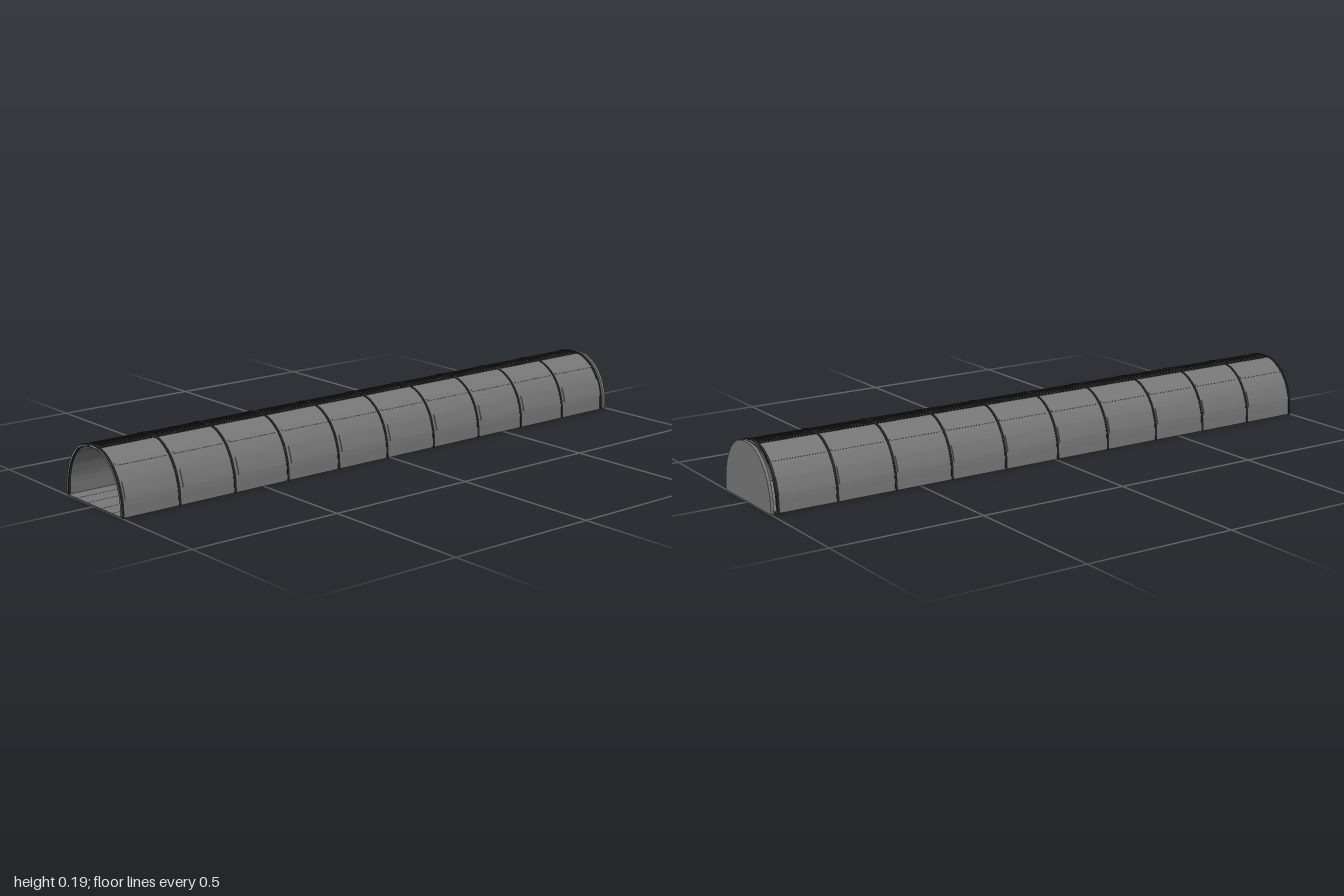
import * as THREE from 'three';

const shellMat = new THREE.MeshStandardMaterial({ color: 0x777777, side: THREE.DoubleSide });
const ribMat = new THREE.MeshStandardMaterial({ color: 0x222222, side: THREE.DoubleSide });

// Right half of the arch, from the foot to the crown
const HALF = [[0.15, 0], [0.146, 0.054], [0.137, 0.085], [0.128, 0.107], [0.102, 0.144],
  [0.06, 0.174], [0.03, 0.182], [0, 0.184]];
const mirrored = HALF.slice(0, -1).reverse().map(([x, y]) => [-x, y]);
const arch = new THREE.CatmullRomCurve3(
  [...HALF, ...mirrored].map(([x, y]) => new THREE.Vector3(x, y, 0)), false, 'centripetal');

// Points along part of the arch, moved outward by d
function archPoints(t0, t1, d, n) {
  const points = [];
  for (let i = 0; i <= n; i++) {
    const t = t0 + (t1 - t0) * i / n;
    const p = arch.getPoint(t), tan = arch.getTangent(t);
    points.push(new THREE.Vector2(p.x + tan.y * d, Math.max(0, p.y - tan.x * d)));
  }
  return points;
}

// Curved slab following the arch between two depths
function band(name, material, t0, t1, inner, outer, z0, z1, n) {
  const outline = [...archPoints(t0, t1, outer, n), ...archPoints(t0, t1, inner, n).reverse()];
  const geometry = new THREE.ExtrudeGeometry(new THREE.Shape(outline), { depth: z1 - z0, bevelEnabled: false });
  geometry.translate(0, 0, z0);
  const mesh = new THREE.Mesh(geometry, material);
  mesh.name = name;
  return mesh;
}

function box(name, w, h, d, x, y, z) {
  const mesh = new THREE.Mesh(new THREE.BoxGeometry(w, h, d), shellMat);
  mesh.position.set(x, y, z);
  mesh.name = name;
  return mesh;
}

export function createModel() {
  const model = new THREE.Group();
  model.name = 'tunnel';
  const back = -0.98, bays = 10, step = (1 - back) / bays;

  // Vaulted shell
  model.add(band('shell', shellMat, 0, 1, -0.005, 0, back, 1, 42));

  // Ribs between the bays
  for (let i = 0; i <= bays; i++) {
    const z = Math.min(1 - 0.008, Math.max(back, 1 - i * step - 0.004));
    model.add(band('rib', ribMat, 0, 1, -0.007, 0.0015, z, z + 0.008, 42));
  }

  // Raised side panels and slim rails in each bay
  for (let i = 0; i < bays; i++) {
    const z1 = 1 - i * step - 0.014, z0 = 1 - (i + 1) * step + 0.008;
    for (const [a, b] of [[0.07, 0.2], [0.8, 0.93]]) {
      model.add(band('sidePanel', shellMat, a, b, -0.001, 0.0025, z0, z1, 8));
    }
    for (const t of [0.29, 0.71]) {
      model.add(band('shoulderRail', shellMat, t - 0.006, t + 0.006, -0.006, 0.001, z0, z1, 1));
    }
  }

  // Narrow strips running along the crown
  for (let i = -3; i <= 3; i++) {
    const t = 0.5 + i * 0.024;
    model.add(band('roofStrip', ribMat, t - 0.007, t + 0.007, -0.006, 0.0012, back, 1, 2));
  }

  // Floor planks with fine seams
  const seams = [-0.15, -0.097, -0.037, 0.037, 0.097, 0.15];
  for (let i = 0; i < seams.length - 1; i++) {
    const w = seams[i + 1] - seams[i];
    model.add(box('floorPlank', w - 0.001, 0.003, 1 - back, seams[i] + w / 2, 0.0015, (1 + back) / 2));
  }

  // Back wall, set slightly away from the shell
  const wall = new THREE.Mesh(new THREE.ExtrudeGeometry(
    new THREE.Shape(archPoints(0, 1, 0, 42)), { depth: 0.01, bevelEnabled: false }), shellMat);
  wall.position.z = -1;
  wall.name = 'backWall';
  model.add(wall);

  return model;
}
